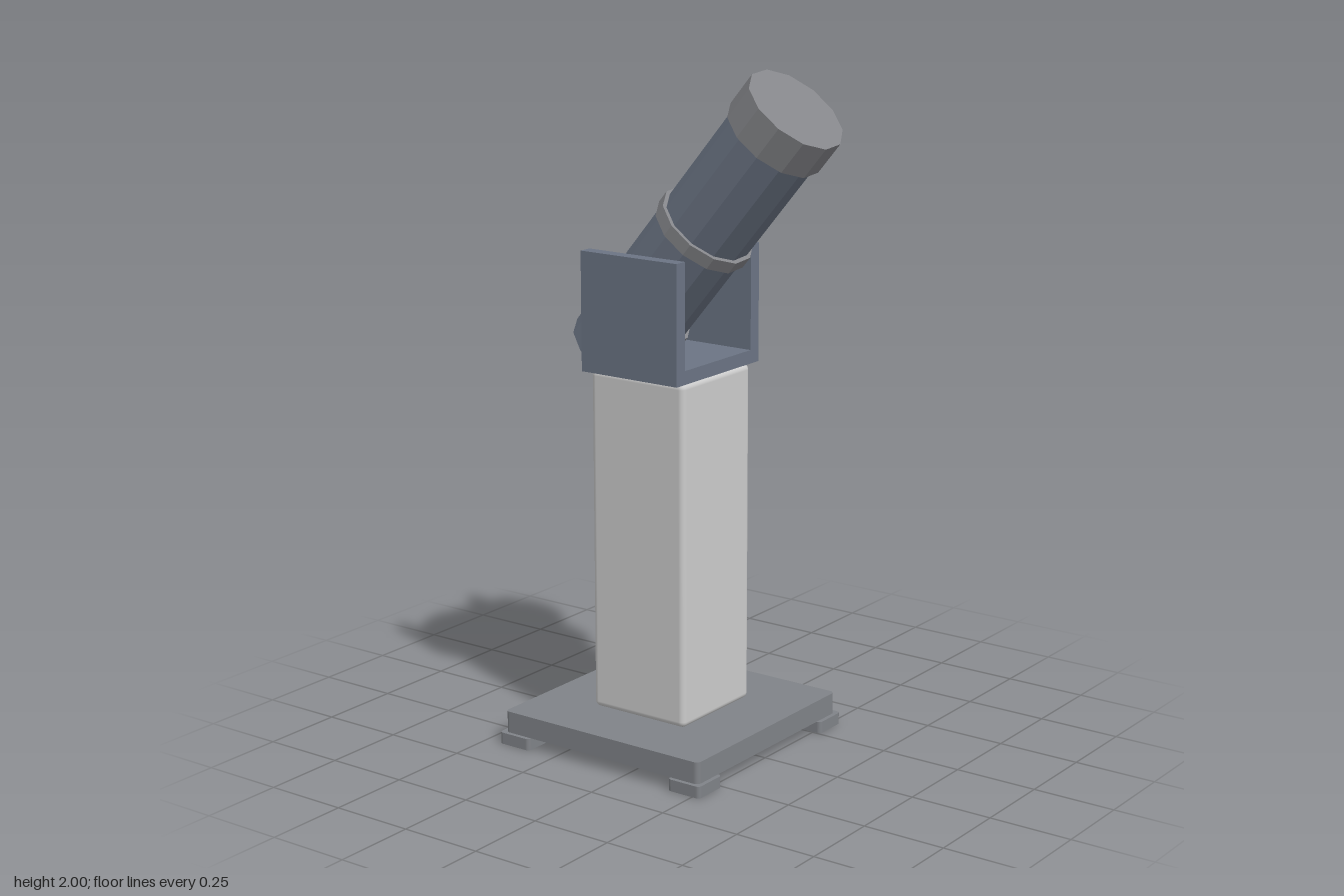
import * as THREE from 'three';
import { RoundedBoxGeometry } from 'three/addons/geometries/RoundedBoxGeometry.js';

const CENTRE_Z = -0.088; // axis of the pedestal

const paint = (color, flatShading = false) => new THREE.MeshStandardMaterial({ color, flatShading });

function add(parent, name, geometry, material, x = 0, y = 0, z = 0) {
  const mesh = new THREE.Mesh(geometry, material);
  mesh.name = name;
  mesh.position.set(x, y, z);
  parent.add(mesh);
  return mesh;
}

// Flat slab with rounded vertical corners, bottom at y = 0
function slab(size, height, r) {
  const h = size / 2;
  const s = new THREE.Shape();
  s.moveTo(-h + r, -h);
  s.absarc(h - r, -h + r, r, -Math.PI / 2, 0);
  s.absarc(h - r, h - r, r, 0, Math.PI / 2);
  s.absarc(-h + r, h - r, r, Math.PI / 2, Math.PI);
  s.absarc(-h + r, -h + r, r, Math.PI, Math.PI * 1.5);
  const g = new THREE.ExtrudeGeometry(s, { depth: height, bevelEnabled: false, curveSegments: 4 });
  return g.rotateX(-Math.PI / 2);
}

// Faceted cylinder along y, from y0 to y0 + length
function barrel(radius, y0, length, sides) {
  const g = new THREE.CylinderGeometry(radius, radius, length, sides, 1, false, THREE.MathUtils.degToRad(-10));
  return g.translate(0, y0 + length / 2, 0);
}

export function createModel() {
  const model = new THREE.Group();
  model.name = 'pedestalTelescope';
  const grey = paint(0x808388);
  const light = paint(0xcccccc);
  const blue = paint(0x6b7484);
  const tubeBlue = paint(0x6b7484, true);
  const trim = paint(0x85868a, true);
  const metal = paint(0xcccccc, true);

  // Pedestal
  const pedestal = new THREE.Group();
  pedestal.name = 'pedestal';
  pedestal.position.z = CENTRE_Z;
  model.add(pedestal);
  for (const x of [-1, 1]) {
    for (const z of [-1, 1]) {
      add(pedestal, 'foot', slab(0.11, 0.035, 0.012), grey, x * 0.308, 0, z * 0.308);
    }
  }
  add(pedestal, 'basePlate', slab(0.7, 0.065, 0.015), grey, 0, 0.035, 0);
  add(pedestal, 'column', new RoundedBoxGeometry(0.33, 1.025, 0.33, 3, 0.018), light, 0, 0.6125, 0);

  // Fork: floor and two side plates
  const fork = new THREE.Group();
  fork.name = 'fork';
  fork.position.set(0, 1.125, CENTRE_Z);
  model.add(fork);
  add(fork, 'forkFloor', new THREE.BoxGeometry(0.32, 0.04, 0.336), blue, 0, 0.02, 0);
  for (const side of [-1, 1]) {
    add(fork, 'forkArm', new THREE.BoxGeometry(0.04, 0.35, 0.336), blue, side * 0.18, 0.175, 0);
  }

  // Optical tube, raised 50 degrees, origin at the centre of its lower end
  const tube = new THREE.Group();
  tube.name = 'opticalTube';
  tube.position.set(0, 1.15, -0.293);
  tube.rotation.x = THREE.MathUtils.degToRad(40);
  model.add(tube);
  add(tube, 'tubeBody', barrel(0.138, 0, 0.9, 12), tubeBlue);
  add(tube, 'frontCap', barrel(0.153, 0.87, 0.11, 12), trim);
  for (const y of [0.146, 0.485]) add(tube, 'tubeRing', barrel(0.15, y, 0.04, 12), trim);
  add(tube, 'focuser', barrel(0.05, -0.08, 0.055, 6), metal);

  // Upright stem between focuser and tube
  add(model, 'eyepieceStem', barrel(0.025, 0, 0.1, 6), metal, 0, 1.1, -0.335);

  return model;
}
